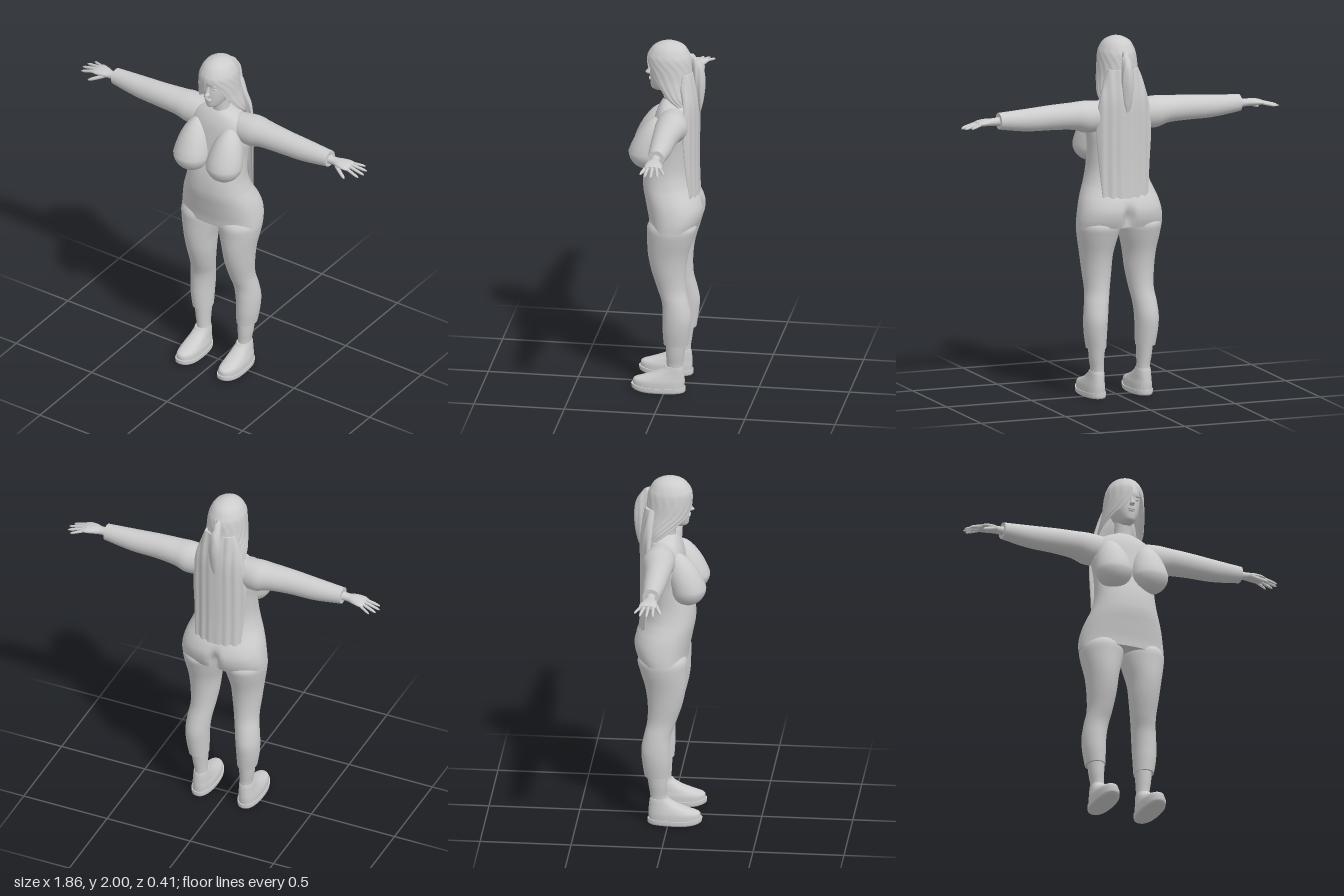
import * as THREE from 'three';

const lerpRow = (a, b, c, d, t) => b.map((_, k) => 0.5 * (2 * b[k] + (c[k] - a[k]) * t
  + (2 * a[k] - 5 * b[k] + 4 * c[k] - d[k]) * t * t
  + (3 * b[k] - a[k] - 3 * c[k] + d[k]) * t * t * t));

// Smoothly fills in rows between the given sections
function refine(rows, steps) {
  const out = [];
  for (let i = 0; i < rows.length - 1; i++)
    for (let s = 0; s < steps; s++)
      out.push(lerpRow(rows[Math.max(i - 1, 0)], rows[i], rows[i + 1],
        rows[Math.min(i + 2, rows.length - 1)], s / steps));
  out.push(rows[rows.length - 1]);
  return out;
}

function finish(pos, idx) {
  const g = new THREE.BufferGeometry();
  g.setAttribute('position', new THREE.Float32BufferAttribute(pos, 3));
  g.setIndex(idx);
  g.computeVertexNormals();
  return g;
}

// Closed loft through oval sections: [y, centre x, half width, front z, back z]
function loft(rows, { seg = 40, steps = 5, power = 2, rule = null } = {}) {
  const R = refine(rows, steps), pos = [], idx = [];
  const ring = ([y, cx, rx, zf, zb]) => {
    for (let j = 0; j < seg; j++) {
      const t = j / seg * Math.PI * 2, c = Math.cos(t), s = Math.sin(t);
      const f = v => Math.sign(v) * Math.pow(Math.abs(v), 2 / power);
      const p = new THREE.Vector3(cx + rx * f(c), y, (zf + zb) / 2 + (zf - zb) / 2 * f(s));
      if (rule) rule(p);
      pos.push(p.x, p.y, p.z);
    }
  };
  R.forEach(ring);
  for (let i = 0; i < R.length - 1; i++)
    for (let j = 0; j < seg; j++) {
      const k = (j + 1) % seg, a = i * seg, b = a + seg;
      idx.push(a + j, b + j, a + k, a + k, b + j, b + k);
    }
  // Separate end caps keep the rims crisp
  [[R[0], false], [R[R.length - 1], true]].forEach(([r, top]) => {
    const base = pos.length / 3;
    ring(r);
    pos.push(r[1], r[0], (r[3] + r[4]) / 2);
    for (let j = 0; j < seg; j++) {
      const k = (j + 1) % seg;
      idx.push(base + seg, base + (top ? k : j), base + (top ? j : k));
    }
  });
  return finish(pos, idx);
}

// Copy reflected in x with its winding corrected
function mirror(geo) {
  const g = geo.clone().scale(-1, 1, 1), ix = g.index.array;
  for (let i = 0; i < ix.length; i += 3) [ix[i], ix[i + 1]] = [ix[i + 1], ix[i]];
  g.computeVertexNormals();
  return g;
}

// Hair shell with a face opening: [y, half width, front z, back z, left opening, right opening]
function hairShell(rows, seg = 72) {
  const R = refine(rows, 5), pos = [], idx = [];
  R.forEach(([y, rx, zf, zb, l, r]) => {
    for (let j = 0; j <= seg; j++) {
      const t = Math.PI / 2 + r + (Math.PI * 2 - l - r) * j / seg;
      const k = 1 + 0.012 * Math.sin(j * 1.3) * Math.min(1, (2 - y) * 6);
      pos.push(rx * k * Math.cos(t), y, (zf + zb) / 2 + (zf - zb) / 2 * k * Math.sin(t));
    }
  });
  const n = seg + 1;
  for (let i = 0; i < R.length - 1; i++)
    for (let j = 0; j < seg; j++) {
      const a = i * n + j, b = a + n;
      idx.push(a, b, a + 1, a + 1, b, b + 1);
    }
  return finish(pos, idx);
}

export function createModel() {
  const model = new THREE.Group();
  model.name = 'figure';
  const clay = new THREE.MeshStandardMaterial({ color: 0xcccccc, side: THREE.DoubleSide });
  clay.name = 'light grey';
  const add = (name, geo) => {
    const m = new THREE.Mesh(geo, clay);
    m.name = name;
    model.add(m);
    return m;
  };
  const pair = (name, geo) => {
    add(name + 'Left', geo);
    add(name + 'Right', mirror(geo));
  };
  const ball = (x, y, z, rx, ry, rz) =>
    new THREE.SphereGeometry(1, 24, 16).scale(rx, ry, rz).translate(x, y, z);

  // Torso, with a groove at the back of the hips
  add('torso', loft([
    [0.955, 0, 0.245, 0.1, -0.175], [1.0, 0, 0.243, 0.105, -0.192], [1.05, 0, 0.235, 0.115, -0.197],
    [1.1, 0, 0.222, 0.125, -0.182], [1.15, 0, 0.203, 0.135, -0.155], [1.2, 0, 0.185, 0.138, -0.133],
    [1.28, 0, 0.17, 0.13, -0.118], [1.4, 0, 0.17, 0.1, -0.118], [1.5, 0, 0.185, 0.085, -0.12],
    [1.58, 0, 0.175, 0.07, -0.12], [1.63, 0, 0.14, 0.05, -0.11], [1.66, 0, 0.078, 0.03, -0.085],
    [1.672, 0, 0.045, 0.015, -0.065]
  ], {
    seg: 80, power: 2.25, rule: p => {
      if (p.z < 0) p.z += 0.045 * Math.exp(-((p.x / 0.022) ** 2) - (((p.y - 1.01) / 0.06) ** 2));
    }
  }));

  // Bust, full below and sloping into the chest above
  const bust = ball(0, 0, 0, 0.103, 0.1, 0.1), bp = bust.attributes.position;
  for (let i = 0; i < bp.count; i++) {
    const y = bp.getY(i);
    if (y > 0) {
      bp.setY(i, y * 2);
      bp.setZ(i, bp.getZ(i) - y * 0.65);
      bp.setX(i, bp.getX(i) * (1 - y * 1.5));
    }
  }
  bust.translate(0.107, 1.392, 0.105).computeVertexNormals();
  pair('bust', bust);

  // Legs, ankles and shoes
  pair('leg', loft([
    [0.28, 0.145, 0.054, 0.005, -0.13], [0.36, 0.15, 0.062, 0.01, -0.142], [0.44, 0.15, 0.066, 0.01, -0.148],
    [0.52, 0.142, 0.067, 0.015, -0.134], [0.6, 0.13, 0.069, 0.042, -0.117], [0.7, 0.126, 0.08, 0.075, -0.115],
    [0.8, 0.126, 0.091, 0.095, -0.128], [0.9, 0.123, 0.112, 0.1, -0.157], [0.96, 0.121, 0.118, 0.1, -0.171],
    [1.0, 0.118, 0.1, 0.08, -0.15]
  ]));
  pair('ankle', loft([
    [0.1, 0.135, 0.038, -0.005, -0.1], [0.16, 0.136, 0.036, -0.01, -0.1],
    [0.22, 0.14, 0.041, -0.007, -0.108], [0.3, 0.141, 0.047, -0.005, -0.12]
  ]));
  const toe = p => {
    if (p.z > 0.08) p.y += 0.012 * ((p.z - 0.08) / 0.1) ** 2;
    if (p.y > 0.06) p.x -= 0.05 * Math.max(0, p.z) * (p.y - 0.06);
  };
  pair('shoe', loft([
    [0.025, 0.138, 0.059, 0.177, -0.108], [0.06, 0.138, 0.058, 0.172, -0.11], [0.085, 0.138, 0.052, 0.125, -0.109],
    [0.11, 0.137, 0.046, 0.06, -0.107], [0.135, 0.137, 0.041, 0.015, -0.104], [0.15, 0.137, 0.038, 0, -0.1]
  ], { power: 2.3, rule: toe }));
  pair('sole', loft([
    [0, 0.138, 0.056, 0.172, -0.108], [0.008, 0.138, 0.063, 0.184, -0.114], [0.03, 0.138, 0.064, 0.186, -0.115]
  ], { power: 2.3, rule: toe }));

  // Sleeved arms, lofted upright then turned outwards
  pair('arm', loft([
    [0.08, -1.565, 0.08, 0.03, -0.11], [0.2, -1.568, 0.088, 0.042, -0.135], [0.28, -1.576, 0.075, 0.037, -0.122],
    [0.4, -1.576, 0.069, 0.03, -0.106], [0.55, -1.573, 0.062, 0.02, -0.1], [0.71, -1.579, 0.046, 0.005, -0.087]
  ]).rotateZ(-Math.PI / 2));
  pair('hand', loft([
    [0.69, -1.578, 0.027, -0.012, -0.068], [0.74, -1.577, 0.021, -0.014, -0.066], [0.78, -1.578, 0.02, 0, -0.082],
    [0.82, -1.577, 0.016, 0.004, -0.094], [0.845, -1.574, 0.01, -0.002, -0.09]
  ], { seg: 24 }).rotateZ(-Math.PI / 2));

  // Fingers: base and tip as x, y, z, then radius
  [
    ['littleFinger', 0.825, 1.575, -0.08, 0.898, 1.56, -0.114, 0.0075],
    ['ringFinger', 0.835, 1.576, -0.063, 0.925, 1.555, -0.083, 0.0085],
    ['middleFinger', 0.835, 1.577, -0.041, 0.932, 1.552, -0.046, 0.0085],
    ['indexFinger', 0.83, 1.576, -0.017, 0.918, 1.55, -0.01, 0.0085],
    ['thumb', 0.77, 1.57, -0.012, 0.85, 1.536, 0.026, 0.01]
  ].forEach(([name, x, y, z, X, Y, Z, r]) => {
    const a = new THREE.Vector3(x, y, z), d = new THREE.Vector3(X, Y, Z).sub(a), L = d.length();
    const g = loft([[0, 0, r, r, -r], [L * 0.5, 0, r, r, -r], [L * 0.85, 0, r * 0.8, r * 0.8, -r * 0.8],
      [L, 0, r * 0.2, r * 0.2, -r * 0.2]], { seg: 12, steps: 3 });
    g.applyQuaternion(new THREE.Quaternion().setFromUnitVectors(new THREE.Vector3(0, 1, 0), d.normalize()));
    pair(name, g.translate(a.x, a.y, a.z));
  });

  // Neck, head and facial features
  add('neck', loft([[1.62, 0, 0.065, 0.03, -0.08], [1.67, 0, 0.048, 0.027, -0.068], [1.78, 0, 0.046, 0.04, -0.065]]));
  add('head', loft([
    [1.715, 0, 0.02, 0.075, 0.02], [1.725, 0, 0.035, 0.094, -0.02], [1.745, 0, 0.052, 0.1, -0.06],
    [1.78, 0, 0.068, 0.103, -0.09], [1.82, 0, 0.078, 0.103, -0.105], [1.855, 0, 0.083, 0.1, -0.11],
    [1.89, 0, 0.085, 0.103, -0.11], [1.94, 0, 0.07, 0.08, -0.085], [1.97, 0, 0.04, 0.045, -0.05]
  ]));
  add('nose', loft([[1.803, 0, 0.01, 0.115, 0.09], [1.812, 0, 0.014, 0.13, 0.09],
    [1.83, 0, 0.008, 0.118, 0.09], [1.86, 0, 0.006, 0.105, 0.09]], { seg: 16 }));
  add('upperLip', ball(0, 1.783, 0.102, 0.021, 0.005, 0.008));
  add('lowerLip', ball(0, 1.774, 0.101, 0.018, 0.006, 0.008));
  pair('eye', ball(0.034, 1.848, 0.088, 0.014, 0.007, 0.008));
  pair('brow', ball(0.036, 1.868, 0.088, 0.021, 0.005, 0.01).rotateZ(0));
  
  // Hair shell with its fringe swept over the right eye
  add('hairCap', hairShell([
    [1.655, 0.125, 0.02, -0.15, 1.6, 1.6], [1.7, 0.128, 0.06, -0.148, 1.25, 1.25],
    [1.76, 0.119, 0.1, -0.143, 1.08, 0.75], [1.8, 0.113, 0.113, -0.138, 0.95, 0.35],
    [1.85, 0.109, 0.119, -0.133, 0.75, 0.05], [1.9, 0.104, 0.12, -0.127, 0.3, 0],
    [1.93, 0.096, 0.112, -0.116, 0, 0], [1.97, 0.073, 0.083, -0.089, 0, 0],
    [1.993, 0.035, 0.04, -0.045, 0, 0], [2.0, 0.001, 0.001, -0.003, 0, 0]
  ]));

  // Long hair hanging down the back, grooved into strands
  add('longHair', loft([
    [1.12, 0, 0.135, -0.157, -0.172], [1.3, 0, 0.148, -0.137, -0.167], [1.5, 0, 0.16, -0.13, -0.168],
    [1.65, 0, 0.145, -0.115, -0.168], [1.75, 0, 0.118, -0.09, -0.155], [1.83, 0, 0.09, -0.08, -0.14]
  ], {
    seg: 96, power: 2.8, rule: p => {
      p.z += 1.6 * p.x * p.x + 0.003 * Math.sin(p.x * 130);
    }
  }));

  // Tied tail on the back of the head
  add('tiedHair', loft([
    [1.6, 0, 0.008, -0.168, -0.178], [1.66, 0, 0.024, -0.155, -0.192], [1.76, 0, 0.034, -0.14, -0.203],
    [1.85, 0, 0.028, -0.125, -0.192], [1.91, 0, 0.017, -0.115, -0.155], [1.93, 0, 0.006, -0.11, -0.135]
  ], { seg: 32, rule: p => { p.x += 0.003 * Math.sin(p.z * 200); } }));

  return model;
}
